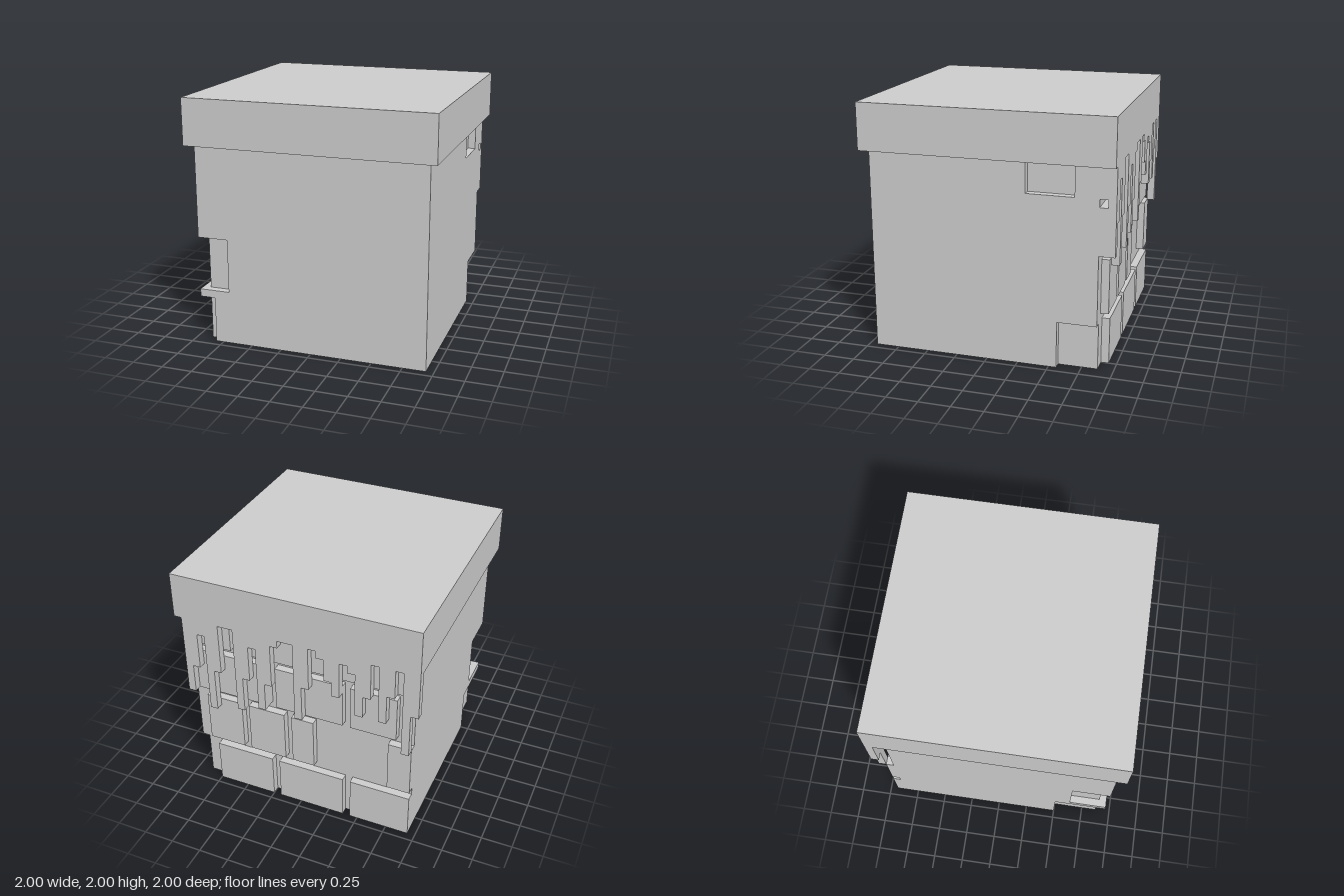
import * as THREE from 'three';

const A = 0.9375;      // outer wall distance from the centre
const C = 0.875;       // recessed wall distance
const PX = 0.0625;     // one small step
const TOP = 1.625;     // underside of the cap

export function createModel() {
  const model = new THREE.Group();
  model.name = 'brickBlock';
  const stone = new THREE.MeshStandardMaterial({ color: 0xcccccc, side: THREE.DoubleSide });
  stone.name = 'palestone';

  const add = (name, geometry, parent = model) => {
    const mesh = new THREE.Mesh(geometry, stone);
    mesh.name = name;
    parent.add(mesh);
    return mesh;
  };
  const group = (name) => {
    const g = new THREE.Group();
    g.name = name;
    model.add(g);
    return g;
  };
  const outline = (pts) => new THREE.ShapeGeometry(new THREE.Shape(pts.map(([x, y]) => new THREE.Vector2(x, y))));
  const box = (name, x0, x1, y0, y1, z0, z1, parent) => {
    const g = new THREE.BoxGeometry(x1 - x0, y1 - y0, z1 - z0);
    g.translate((x0 + x1) / 2, (y0 + y1) / 2, (z0 + z1) / 2);
    return add(name, g, parent);
  };

  // Cap: a shallow box, open underneath
  const cap = new THREE.BoxGeometry(2, 2 - TOP, 2);
  cap.setIndex(Array.from(cap.index.array).filter((_, i) => i < 18 || i >= 24));
  cap.translate(0, (2 + TOP) / 2, 0);
  add('cap', cap);

  // Thin outer walls, with outlines cut away at the missing bricks
  add('frontWall', outline([
    [-0.8125, 0], [A, 0], [A, TOP], [-A, TOP], [-A, 0.875], [-0.6875, 0.875],
    [-0.6875, 0.4375], [-A, 0.4375], [-A, 0.375], [-0.8125, 0.375],
  ]).translate(0, 0, A));
  add('leftWall', outline([
    [-A, 0], [0.5625, 0], [0.5625, 0.375], [C, 0.375], [C, TOP], [0.6875, TOP],
    [0.6875, 1.375], [0.3125, 1.375], [0.3125, TOP], [-A, TOP],
  ]).rotateY(Math.PI / 2).translate(A, 0, 0));
  add('rightWall', outline([
    [-C, 0], [0.5, 0], [0.5, 0.375], [A, 0.375], [A, 0.4375], [0.625, 0.4375],
    [0.625, 0.875], [A, 0.875], [A, TOP], [-C, TOP],
  ]).rotateY(-Math.PI / 2).translate(-A, 0, 0));
  add('backWall', outline([
    [-C, 0], [A, 0], [A, TOP], [-A, TOP], [-A, 0.375], [-C, 0.375],
  ]).rotateY(Math.PI).translate(0, 0, -C));

  // Recess: upright panels along a plan path, plus flat ledges
  const recess = (name, path, corner, y0, y1, ledges) => {
    const g = group(name);
    for (let i = 0; i < path.length - 1; i++) {
      const [x0, z0] = path[i], [x1, z1] = path[i + 1];
      const panel = new THREE.PlaneGeometry(Math.hypot(x1 - x0, z1 - z0), y1 - y0);
      panel.rotateY(Math.atan2(z0 - z1, x1 - x0));
      panel.translate((x0 + x1) / 2, (y0 + y1) / 2, (z0 + z1) / 2);
      add('recessPanel', panel, g);
    }
    for (const y of ledges) {
      add('recessLedge', outline([...path, ...corner]).rotateX(Math.PI / 2).translate(0, y, 0), g);
    }
  };
  recess('middleCornerRecess',
    [[-0.6875, A], [-0.6875, C], [-C, C], [-C, 0.625], [-A, 0.625]], [[-A, A]], 0.4375, 0.875, [0.4375, 0.875]);
  recess('lowerCornerRecess',
    [[-0.8125, A], [-0.8125, C], [-C, C], [-C, 0.5], [-A, 0.5]], [[-A, A]], 0, 0.375, [0.375]);
  recess('lowerBackRecess',
    [[A, -0.5625], [C, -0.5625], [C, -C]], [[A, -C]], 0, 0.375, [0.375]);
  recess('upperSideRecess',
    [[A, -0.3125], [C, -0.3125], [C, -0.6875], [A, -0.6875]], [], 1.375, TOP, [1.375]);

  // Raised bricks on the back, row by row: [bottom, top, [x from, x to]...]
  const bricks = group('backBricks');
  const rows = [
    [0, 0.375, [[0.25, 0.75], [-0.375, 0.1875], [-A, -0.4375]]],
    [0.4375, 0.875, [[0.5, 0.8125], [0.125, 0.4375], [-0.125, 0.0625], [-A, -0.75]]],
    [0.9375, 1.3125, [[0.25, A], [-0.375, 0.1875], [-0.8125, -0.4375]]],
    [1.375, TOP, [[0.5625, A], [-0.0625, 0.5], [-0.5, -0.125], [-A, -0.5625]]],
  ];
  for (const [y0, y1, spans] of rows) {
    for (const [x0, x1] of spans) box('backBrick', x0, x1, y0, y1, -A, -C, bricks);
  }

  // Drips hanging from the back of the cap: lower end of each column from +x to -x
  const drips = group('drips');
  const ends = [
    TOP, 0.9375, 1.1875, 1.5, 0.8125, 1.1875, TOP, TOP,
    0.875, 1.1875, 1.5, 0.9375, 1.1875, 1.5625, TOP, TOP,
    0.9375, 1.25, TOP, 1.5625, 1.375, 1.25, 1.5625, 1.5,
    1.125, 1.3125, TOP, 1.125, 1.375, TOP, 0.875, 1.25,
  ];
  ends.forEach((y, i) => {
    if (y < TOP) box('drip', 1 - (i + 1) * PX, 1 - i * PX, y, TOP, -1, -A, drips);
  });

  return model;
}
